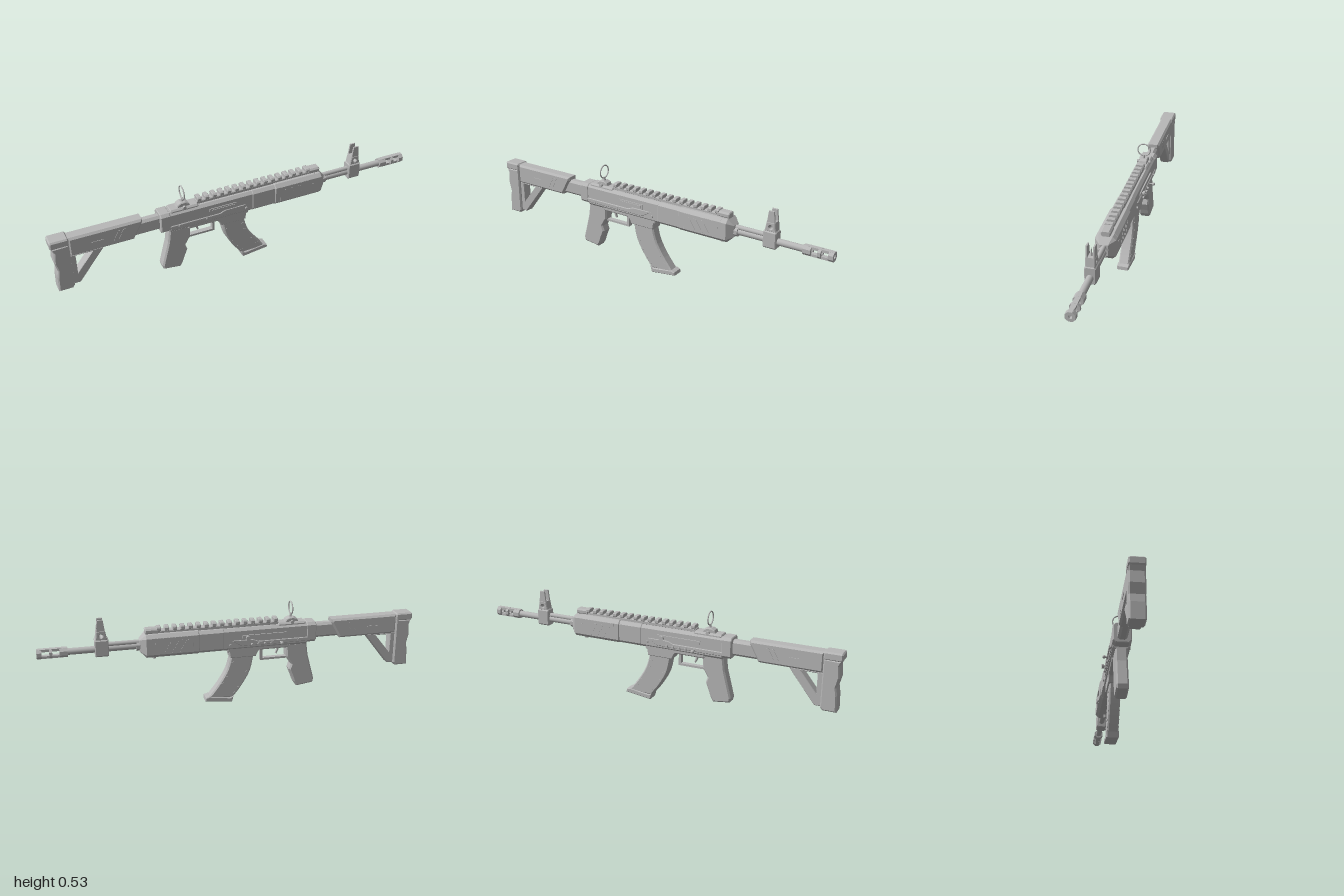
import * as THREE from 'three';

export function createModel() {
  const model = new THREE.Group();
  const rifle = new THREE.Group();
  rifle.name = 'rifle';
  rifle.position.z = 0.012;
  model.add(rifle);
  const metal = new THREE.MeshStandardMaterial({ color: 0xb8b8b8 });
  metal.name = 'plain grey';

  const add = (name, geo, x = 0, y = 0, z = 0) => {
    const mesh = new THREE.Mesh(geo, metal);
    mesh.name = name;
    mesh.position.set(x, y, z);
    rifle.add(mesh);
    return mesh;
  };
  const outline = pts => new THREE.Shape(pts.map(p => new THREE.Vector2(p[0], p[1])));
  const flat = geo => {
    const g = geo.index ? geo.toNonIndexed() : geo;
    g.computeVertexNormals();
    return g;
  };
  const extrude = (shape, depth, bevel) => new THREE.ExtrudeGeometry(shape, {
    depth: depth - 2 * bevel, bevelEnabled: bevel > 0, bevelThickness: bevel,
    bevelSize: bevel, bevelOffset: -bevel, bevelSegments: 1, curveSegments: 10,
  }).translate(0, 0, bevel - depth / 2);
  // side outline in x and y, given a width in z
  const side = (name, pts, half, bevel = 0.006, holes = [], z = 0) => {
    const shape = outline(pts);
    holes.forEach(h => shape.holes.push(h));
    return add(name, extrude(shape, half * 2, bevel), 0, 0, z);
  };
  // chamfered cross-section running along x
  const block = (name, x0, x1, y0, y1, half, cut = 0.01, bevel = 0.004) => {
    const c = Math.min(cut, half * 0.7);
    const shape = outline([
      [-half + c, y0], [half - c, y0], [half, y0 + c], [half, y1 - c],
      [half - c, y1], [-half + c, y1], [-half, y1 - c], [-half, y0 + c]]);
    return add(name, extrude(shape, x1 - x0, bevel).rotateY(Math.PI / 2), (x0 + x1) / 2);
  };
  const box = (name, x, y, z, w, h, d) => add(name, new THREE.BoxGeometry(w, h, d), x, y, z);
  const rod = (name, x0, x1, y, r, n = 20) => {
    let geo = new THREE.CylinderGeometry(r, r, x1 - x0, n, 1, false, Math.PI / n).rotateZ(-Math.PI / 2);
    if (n <= 8) geo = flat(geo);
    return add(name, geo, (x0 + x1) / 2, y, 0);
  };
  const pin = (name, x, y, z, r, len, n = 12) =>
    add(name, new THREE.CylinderGeometry(r, r, len, n).rotateX(Math.PI / 2), x, y, z);
  const bothSides = fn => [-1, 1].forEach(fn);

  // Stock
  side('buttPad', [[-0.995, 0.385], [-0.985, 0.36], [-0.99, 0.3], [-0.978, 0.25], [-0.985, 0.21],
    [-0.988, 0.125], [-0.918, 0.125], [-0.907, 0.14], [-0.907, 0.39]], 0.038, 0.007);
  block('buttCap', -1, -0.907, 0.383, 0.425, 0.039, 0.007, 0.006);
  side('stockBody', [[-0.91, 0.313], [-0.585, 0.313], [-0.537, 0.4], [-0.537, 0.42], [-0.91, 0.42]], 0.034, 0.01);
  side('stockStrut', [[-0.91, 0.14], [-0.875, 0.14], [-0.738, 0.315], [-0.91, 0.315]], 0.026, 0.004,
    [new THREE.Path([[-0.882, 0.306], [-0.882, 0.202], [-0.798, 0.306]].map(p => new THREE.Vector2(...p)))]);
  block('stockTube', -0.6, -0.43, 0.322, 0.402, 0.024, 0.012);
  bothSides(s => {
    for (const x of [-0.69, -0.665])
      side('stockStripe', [[x, 0.34], [x + 0.012, 0.34], [x + 0.04, 0.395], [x + 0.028, 0.395]], 0.002, 0, [], s * 0.034);
    box('stockMark', -0.77, 0.365, s * 0.034, 0.06, 0.006, 0.005);
  });

  // Receiver
  block('receiverRear', -0.447, -0.395, 0.308, 0.417, 0.046, 0.014);
  block('receiver', -0.4, 0.06, 0.297, 0.415, 0.043, 0.014);
  block('receiverCover', -0.39, -0.24, 0.385, 0.424, 0.034, 0.008);
  block('receiverLower', -0.3, 0.035, 0.285, 0.325, 0.036, 0.006);
  side('frontPanel', [[-0.4, 0.318], [-0.04, 0.318], [0.015, 0.352], [-0.1, 0.352], [-0.13, 0.34], [-0.4, 0.34]], 0.047, 0.003);
  box('ejectionFrame', -0.11, 0.368, 0.043, 0.15, 0.028, 0.008);
  box('ejectionCover', -0.11, 0.368, 0.045, 0.13, 0.014, 0.01);
  box('boltTrack', -0.16, 0.37, -0.044, 0.24, 0.016, 0.01);
  for (const x of [-0.35, -0.2, 0.02]) bothSides(s => pin('receiverPin', x, 0.328, s * 0.046, 0.007, 0.008));
  // Controls on the back side
  pin('chargingStem', -0.25, 0.327, -0.056, 0.004, 0.03);
  add('chargingKnob', new THREE.SphereGeometry(0.009, 14, 10), -0.25, 0.327, -0.07);
  pin('boltKnobStem', -0.07, 0.366, -0.05, 0.006, 0.022);
  pin('boltKnob', -0.07, 0.366, -0.06, 0.012, 0.011, 16);
  for (let i = 0; i < 4; i++) pin('controlStud', -0.2 + i * 0.035, 0.325, -0.05, 0.007, 0.012);

  // Handguard
  block('handguardRear', 0.055, 0.19, 0.298, 0.416, 0.046, 0.015);
  block('handguardFront', 0.185, 0.49, 0.297, 0.418, 0.052, 0.017, 0.032);
  block('handguardCollar', 0.185, 0.43, 0.297, 0.419, 0.0515, 0.017);
  bothSides(s => {
    for (const x of [0.235, 0.275, 0.315])
      side('handguardStripe', [[x + 0.04, 0.32], [x + 0.055, 0.32], [x + 0.015, 0.385], [x, 0.385]], 0.002, 0, [], s * 0.0515);
    pin('handguardPin', 0.41, 0.37, s * 0.0515, 0.006, 0.005);
  });
  add('handguardScrew', new THREE.CylinderGeometry(0.012, 0.01, 0.02, 12), 0.415, 0.29, 0);

  // Top rail
  block('railBase', -0.245, 0.46, 0.412, 0.432, 0.02, 0.004, 0.002);
  for (let i = 0; i < 16; i++) block('railTooth', -0.24 + i * 0.0412, -0.218 + i * 0.0412, 0.427, 0.451, 0.024, 0.006, 0.002);
  block('railStop', 0.39, 0.46, 0.415, 0.445, 0.025, 0.008);

  // Rear ring sight
  side('rearSightBase', [[-0.355, 0.418], [-0.278, 0.418], [-0.288, 0.438], [-0.305, 0.446], [-0.328, 0.446], [-0.345, 0.438]], 0.022, 0.004);
  bothSides(s => pin('rearSightKnob', -0.315, 0.424, s * 0.032, 0.009, 0.012));
  add('rearSightStem', new THREE.CylinderGeometry(0.005, 0.008, 0.03, 12), -0.315, 0.45, 0);
  add('rearSightRing', new THREE.TorusGeometry(0.0345, 0.0034, 10, 40).rotateY(Math.PI / 2), -0.315, 0.494, 0);

  // Barrel
  rod('barrel', 0.47, 0.87, 0.354, 0.017);
  rod('gasTube', 0.47, 0.66, 0.375, 0.012);
  rod('barrelCollar', 0.485, 0.505, 0.354, 0.026, 8);

  // Muzzle with open side slots
  rod('muzzleBase', 0.848, 0.875, 0.354, 0.0265, 8);
  const muzzleRing = (x0, x1) => {
    const p = [[0.01, x0], [0.0265, x0], [0.0265, x1], [0.01, x1], [0.01, x0]].map(q => new THREE.Vector2(...q));
    add('muzzleRing', flat(new THREE.LatheGeometry(p, 8, Math.PI / 8).rotateZ(-Math.PI / 2)), 0, 0.354, 0);
  };
  [[0.874, 0.888], [0.923, 0.938], [0.975, 1]].forEach(r => muzzleRing(...r));
  bothSides(s => box('muzzleBar', 0.93, 0.354 + s * 0.0175, 0, 0.12, 0.013, 0.024));

  // Front sight
  block('frontSightBlock', 0.645, 0.714, 0.318, 0.41, 0.028, 0.008);
  side('frontSightTower', [[0.65, 0.405], [0.71, 0.405], [0.703, 0.455], [0.659, 0.455]], 0.024, 0.004,
    [new THREE.Path().absarc(0.681, 0.428, 0.009, 0, Math.PI * 2, true)]);
  bothSides(s => side('frontSightEar', [[0.659, 0.445], [0.703, 0.445], [0.695, 0.512], [0.667, 0.512]],
    0.0045, 0.0015, [], s * 0.0178));
  add('frontSightPost', new THREE.CylinderGeometry(0.0015, 0.0055, 0.045, 12), 0.681, 0.474, 0);

  // Grip and trigger
  side('grip', [[-0.41, 0.23], [-0.447, 0.09], [-0.442, 0.067], [-0.35, 0.055], [-0.335, 0.08], [-0.325, 0.11],
    [-0.307, 0.155], [-0.317, 0.185], [-0.29, 0.23], [-0.285, 0.305], [-0.4, 0.305]], 0.03, 0.008);
  box('guardBar', -0.222, 0.224, 0, 0.148, 0.011, 0.026);
  box('guardFront', -0.154, 0.26, 0, 0.012, 0.075, 0.026);
  side('trigger', [[-0.258, 0.3], [-0.25, 0.265], [-0.24, 0.245], [-0.233, 0.248], [-0.24, 0.268], [-0.238, 0.3]], 0.007, 0.002);

  // Magazine
  side('magazineWell', [[-0.15, 0.3], [-0.13, 0.278], [-0.118, 0.252], [0.02, 0.252], [0.028, 0.3]], 0.036, 0.004);
  const rear = new THREE.CatmullRomCurve3([[-0.11, 0.265], [-0.088, 0.168], [-0.04, 0.083], [0.005, 0.025]].map(p => new THREE.Vector3(p[0], p[1], 0)));
  const front = new THREE.CatmullRomCurve3([[0.013, 0.265], [0.035, 0.185], [0.078, 0.11], [0.138, 0.032]].map(p => new THREE.Vector3(p[0], p[1], 0)));
  const edge = [...rear.getPoints(10), ...front.getPoints(10).reverse()];
  side('magazine', edge.map(p => [p.x, p.y]), 0.0285, 0.007);
  side('magazineBase', [[0, 0.036], [0.01, 0], [0.155, 0.018], [0.152, 0.036], [0.132, 0.042], [0.02, 0.026]], 0.032, 0.004);
  for (let i = 1; i < 6; i++) bothSides(s => [[rear, 0.018], [front, -0.018]].forEach(([curve, dx]) => {
    const p = curve.getPoint(i / 6);
    box('magazineNotch', p.x + dx, p.y, s * 0.028, 0.014, 0.005, 0.004).rotation.z = -0.4;
  }));

  return model;
}
